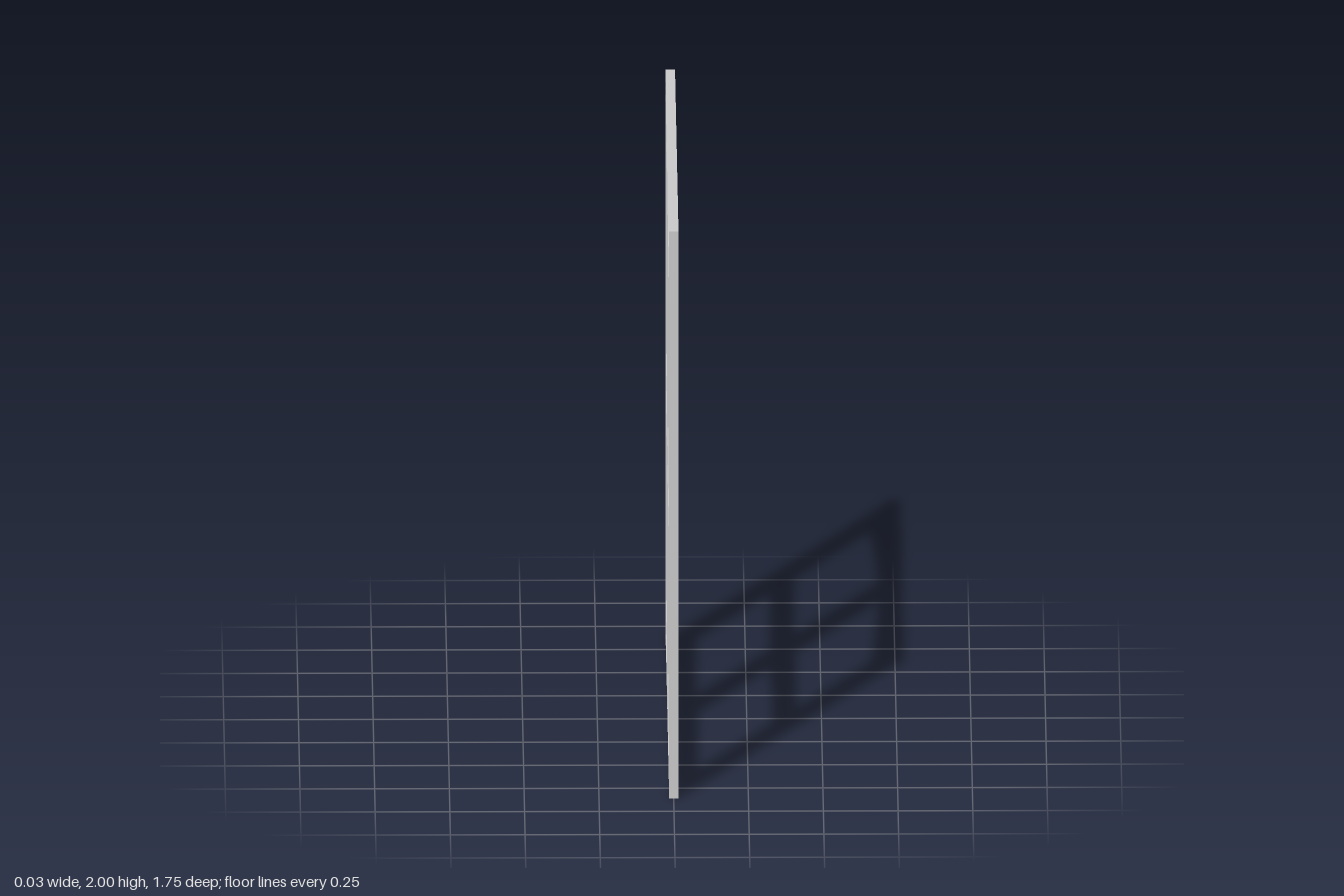
import * as THREE from 'three';

const DEPTH = 0.032;
const material = new THREE.MeshStandardMaterial({ color: 0xcccccc, side: THREE.DoubleSide });

// Closed outline from [x, y] corners
function trace(path, points) {
  points.forEach(([x, y], i) => (i ? path.lineTo(x, y) : path.moveTo(x, y)));
  path.closePath();
  return path;
}

// Hollow shell: an outer face with walls around every edge, open at the back
function shell(name, shape) {
  const solid = new THREE.ExtrudeGeometry(shape, { depth: DEPTH, bevelEnabled: false, curveSegments: 12 });
  const p = solid.attributes.position;
  const kept = [];
  for (let i = 0; i < p.count; i += 3) {
    const corners = [i, i + 1, i + 2];
    if (corners.every((c) => p.getZ(c) < 1e-6)) continue; // leave the back open
    corners.forEach((c) => kept.push(p.getX(c), p.getY(c), p.getZ(c)));
  }
  const geometry = new THREE.BufferGeometry();
  geometry.setAttribute('position', new THREE.Float32BufferAttribute(kept, 3));
  geometry.translate(0, 0, -DEPTH / 2);
  geometry.rotateY(Math.PI / 2); // outer face towards +x
  geometry.computeVertexNormals();
  const mesh = new THREE.Mesh(geometry, material);
  mesh.name = name;
  return mesh;
}

// Two jambs joined by an overhanging lintel
function outerFrame() {
  const half = [[0.795, 1.937], [0.795, 0], [0.862, 0], [0.862, 1.937], [0.876, 1.937], [0.876, 2]];
  const mirrored = half.map(([x, y]) => [-x, y]).reverse();
  return shell('outerFrame', trace(new THREE.Shape(), [...half, ...mirrored]));
}

// One sash with a square lower opening and an arched upper opening
function sash(name, s) {
  const shape = trace(new THREE.Shape(), [[s * 0.002, 0.04], [s * 0.788, 0.04], [s * 0.788, 1.932], [s * 0.002, 1.932]]);
  const inner = s * 0.068, outer = s * 0.728;
  shape.holes.push(trace(new THREE.Path(), [[inner, 0.18], [outer, 0.18], [outer, 0.916], [inner, 0.916]]));
  const arched = new THREE.Path();
  arched.moveTo(inner, 1.047);
  arched.lineTo(outer, 1.047);
  arched.lineTo(outer, 1.792);
  arched.quadraticCurveTo((inner + outer) / 2, 1.867, inner, 1.867);
  arched.closePath();
  shape.holes.push(arched);
  return shell(name, shape);
}

export function createModel() {
  const group = new THREE.Group();
  group.name = 'window';
  group.add(outerFrame(), sash('frontSash', -1), sash('backSash', 1));
  return group;
}
